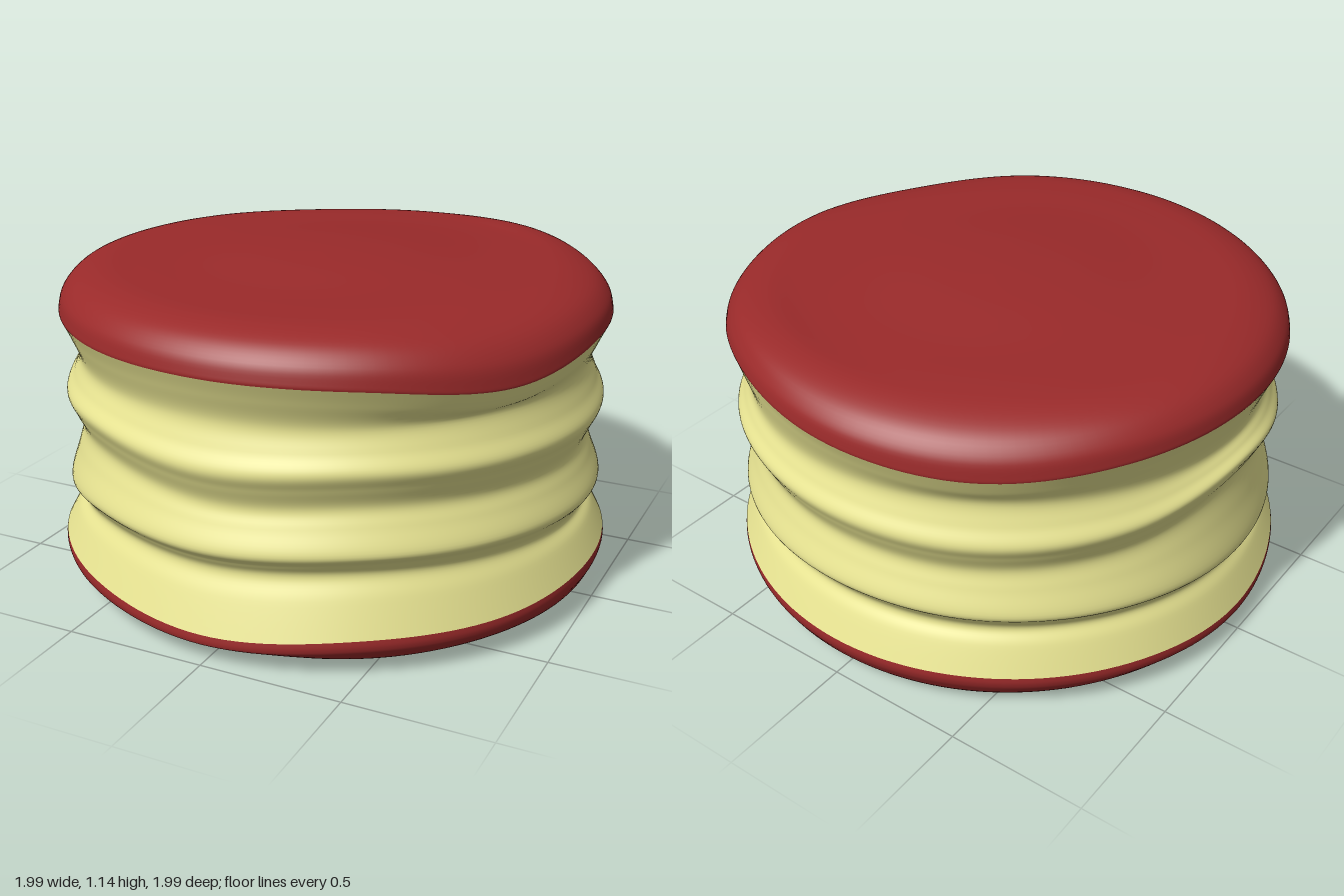
import * as THREE from 'three';
import { mergeVertices } from 'three/addons/utils/BufferGeometryUtils.js';

const COLS = 144;

// Heights around the side, every 30 degrees from +x towards +z
const TOP_RIM = [0.955, 0.905, 0.95, 0.96, 0.96, 0.965, 0.97, 0.96, 0.935, 0.965, 1.0, 0.965];
const UPPER_FOLD = [0.65, 0.66, 0.67, 0.65, 0.68, 0.67, 0.73, 0.68, 0.66, 0.67, 0.68, 0.66];
const LOWER_FOLD = [0.38, 0.40, 0.41, 0.39, 0.395, 0.35, 0.36, 0.38, 0.39, 0.40, 0.39, 0.37];
const BOTTOM_RIM = [0.155, 0.135, 0.135, 0.105, 0.135, 0.145, 0.12, 0.14, 0.15, 0.15, 0.155, 0.155];

// Smooth periodic interpolation of a height table
function around(table, a) {
  const n = table.length;
  const f = (((a / (Math.PI * 2)) % 1) + 1) % 1 * n;
  const i = Math.floor(f) % n, t = f - Math.floor(f);
  const [p0, p1, p2, p3] = [-1, 0, 1, 2].map((k) => table[(i + k + n) % n]);
  return p1 + 0.5 * t * (p2 - p0 + t * (2 * p0 - 5 * p1 + 4 * p2 - p3 + t * (3 * (p1 - p2) + p3 - p0)));
}

const topRadius = (tr) => 0.977 - 0.3 * Math.max(0, tr - 0.96);

// Profiles are [radius, height] points, from top to bottom
function topProfile(a) {
  const tr = around(TOP_RIM, a), r = topRadius(tr), drop = (tr - 0.96) * 0.5;
  return [[0, 1.145], [0.25, 1.137], [0.5, 1.12], [0.7, 1.113], [0.82, 1.105 + drop * 0.6],
    [0.91, 1.075 + drop], [r - 0.015, 1.025 + drop * 1.4], [r, tr + 0.015], [r, tr]];
}

function fillingProfile(a) {
  const tr = around(TOP_RIM, a), up = around(UPPER_FOLD, a);
  const low = around(LOWER_FOLD, a), br = around(BOTTOM_RIM, a);
  return [[topRadius(tr), tr], [0.948, tr - 0.06], [0.914, 0.81], [0.935, (0.81 + up) / 2],
    [0.964, up + 0.01], [0.94, up - 0.05], [0.912, up - 0.12], [0.932, (up + low) / 2 - 0.05],
    [0.964, low], [0.935, low - 0.045], [0.914, low - 0.09],
    [0.945, (low + br) / 2 - 0.02], [0.992, br]];
}

function bottomProfile(a) {
  const br = around(BOTTOM_RIM, a), t = (0.155 - br) / 0.05;
  return [[0.992, br], [0.994, br - 0.025], [0.982, br - 0.06 + 0.02 * t], [0.94 - 0.02 * t, 0.035 + 0.012 * t],
    [0.84 - 0.04 * t, 0.01 + 0.012 * t], [0.66, 0.002], [0.3, 0], [0, 0]];
}

// Sweeps an angle-dependent profile around y
function sweep(name, profile, rows, color) {
  const geo = new THREE.PlaneGeometry(1, 1, COLS, rows);
  const pos = geo.attributes.position;
  for (let c = 0; c <= COLS; c++) {
    const a = -((c % COLS) / COLS) * Math.PI * 2;
    const curve = new THREE.SplineCurve(profile(a).map(([r, y]) => new THREE.Vector2(r, y)));
    for (let row = 0; row <= rows; row++) {
      const p = curve.getPoint(row / rows);
      // The stack leans slightly backwards
      const lean = p.y / 1.1;
      pos.setXYZ(row * (COLS + 1) + c, p.x * Math.cos(a) - 0.006 * lean, Math.max(0, p.y), p.x * Math.sin(a) - 0.02 * lean);
    }
  }
  geo.deleteAttribute('uv');
  geo.deleteAttribute('normal');
  const merged = mergeVertices(geo, 1e-5);
  merged.computeVertexNormals();
  const mesh = new THREE.Mesh(merged, new THREE.MeshStandardMaterial({ color }));
  mesh.name = name;
  return mesh;
}

export function createModel() {
  const group = new THREE.Group();
  group.name = 'foldedCushion';
  group.add(
    sweep('topCover', topProfile, 40, 0x9a2a2a),
    sweep('foldedSide', fillingProfile, 84, 0xe8e492),
    sweep('bottomCover', bottomProfile, 36, 0x9a2a2a),
  );
  return group;
}
